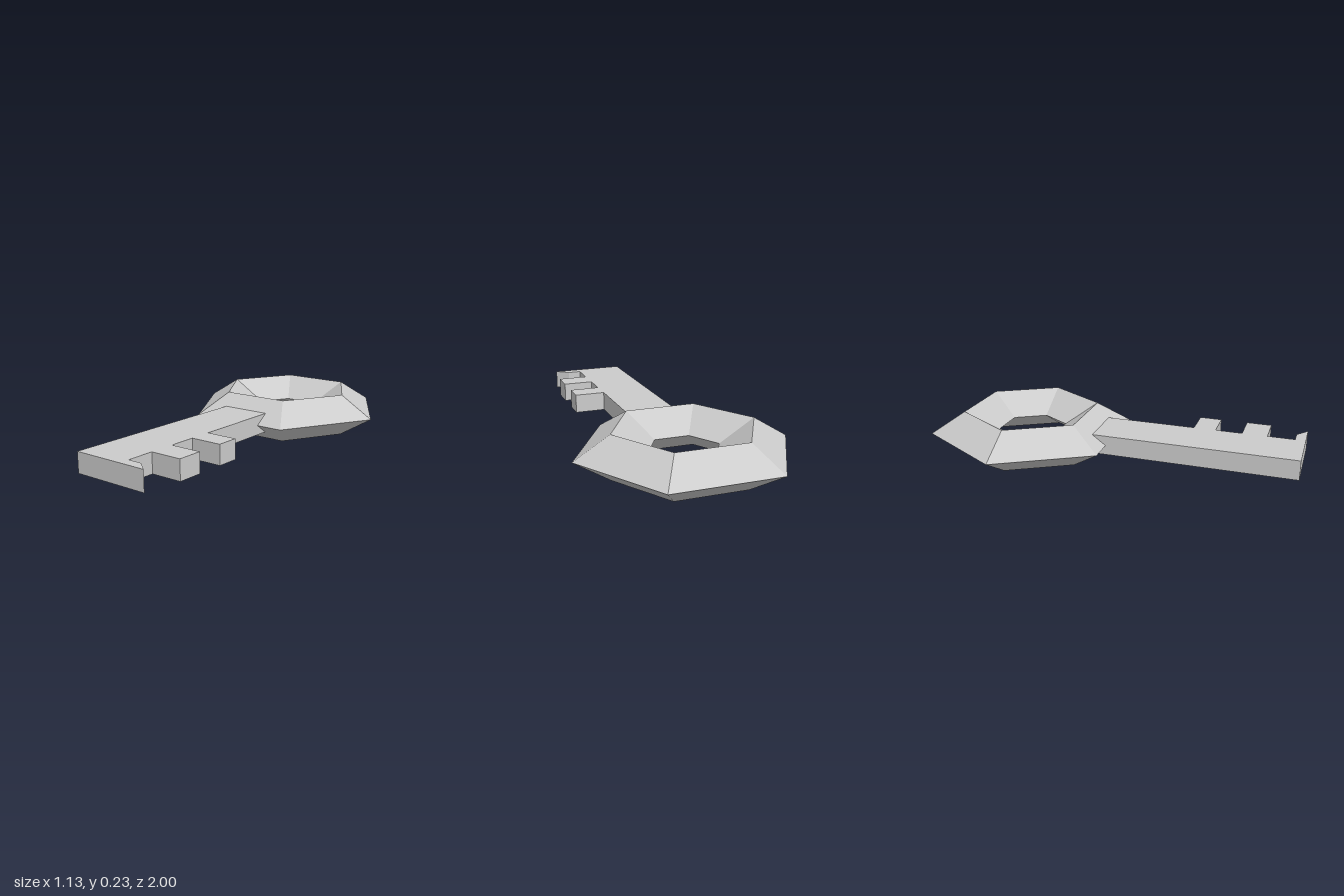
import * as THREE from 'three';

export function createModel() {
  const group = new THREE.Group();
  const material = new THREE.MeshStandardMaterial({ color: 0xcccccc, flatShading: true });
  const midHeight = 0.116;

  // Hexagonal bow: a six-sided ring with a flattened diamond section
  const ring = new THREE.TorusGeometry(0.377, 0.189, 4, 6);
  ring.scale(1, 1, midHeight / 0.189);
  ring.rotateX(-Math.PI / 2);
  const bow = new THREE.Mesh(ring, material);
  bow.name = 'bow';
  bow.position.set(0, midHeight, -0.51);
  group.add(bow);

  // Shaft with its bit: outline as [x, z], extruded upwards
  const edge = 0.135;
  const tooth = 0.305;
  const outline = [
    [-0.14, -0.18], [-0.14, 1], [0.28, 1], [0.21, 0.945], [edge, 0.945],
    [edge, 0.8], [tooth, 0.8], [tooth, 0.665], [edge, 0.665],
    [edge, 0.52], [tooth, 0.52], [tooth, 0.4], [edge, 0.4], [edge, -0.18],
  ];
  const shape = new THREE.Shape(outline.map(([x, z]) => new THREE.Vector2(x, -z)));
  const blade = new THREE.ExtrudeGeometry(shape, { depth: 0.106, bevelEnabled: false });
  blade.rotateX(-Math.PI / 2);
  const shaft = new THREE.Mesh(blade, material);
  shaft.name = 'toothedShaft';
  shaft.position.y = 0.064;
  group.add(shaft);

  return group;
}
